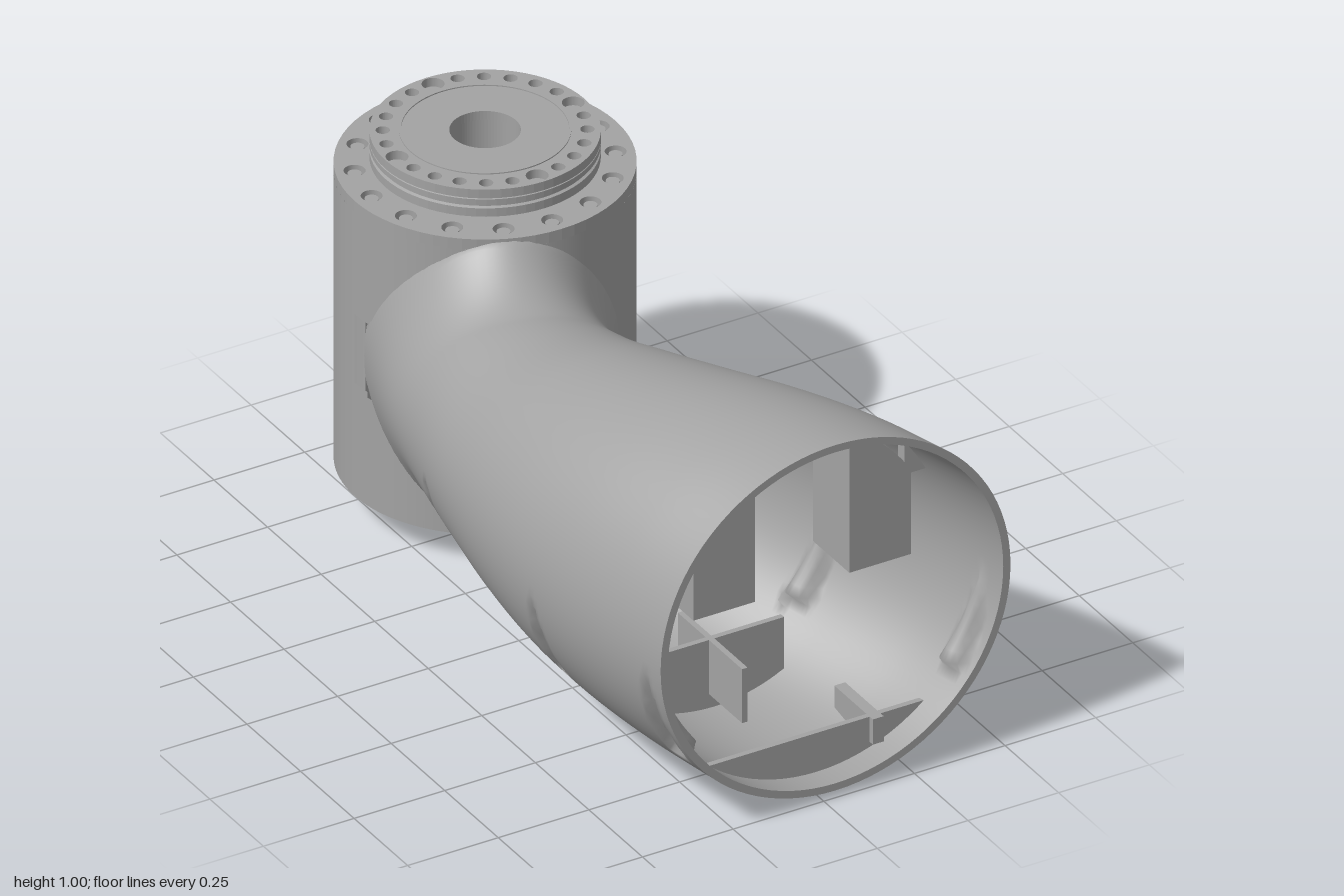
import * as THREE from 'three';

const AX = 0.035, AZ = -0.64, R = 0.36; // joint axis and joint radius

// Arm outline at even stations along z
const stations = [-0.6, -0.4, -0.2, 0, 0.2, 0.4, 0.6, 0.8, 1];
const track = (values) => {
  const c = new THREE.CubicInterpolant(stations, values, 1);
  return (z) => c.evaluate(z)[0];
};
const leftEdge = track([-0.322, -0.385, -0.43, -0.472, -0.503, -0.518, -0.51, -0.485, -0.45]);
const rightEdge = track([0.36, 0.27, 0.142, 0.165, 0.225, 0.3, 0.385, 0.46, 0.515]);
const halfHeight = track([0.3, 0.3, 0.3, 0.32, 0.368, 0.413, 0.45, 0.472, 0.48]);

function section(z, inset) {
  const a = leftEdge(z), b = rightEdge(z);
  return { cx: (a + b) / 2, rx: (b - a) / 2 - inset, ry: halfHeight(z) - inset };
}

// Depth of the teardrop screw pockets on the lower flanks
function pocket(y, z) {
  const v = (y - 0.23) / 0.22;
  if (v <= 0 || v >= 1) return 0;
  const w = 0.035 * Math.sqrt(1 - v);
  for (const zc of [0.94, 0.5, -0.11]) {
    const u = Math.abs(z - zc) / w;
    if (u < 1) return 0.04 * Math.sqrt(1 - u * u) * Math.sqrt(1 - v);
  }
  return 0;
}

// Point on the arm: elliptical section, flared towards the joint and stopped at its wall
function armPoint(z, angle, inset) {
  const s = section(z, inset);
  let x = s.cx + s.rx * Math.cos(angle);
  const r = Math.hypot(x - AX, z - AZ);
  const t = THREE.MathUtils.clamp((0.56 - r) / 0.2, 0, 1);
  const y = 0.5 + s.ry * Math.sin(angle) * (1 + 0.35 * Math.pow(t, 1.6));
  x -= Math.sign(Math.cos(angle)) * pocket(y, z);
  const wall = AZ + Math.sqrt(Math.max(0, 0.35 ** 2 - (x - AX) ** 2));
  return [x, y, Math.max(z, wall)];
}

// Closed rings joined into a skin
function loft(rings, flip = false, n = 96) {
  const pos = [], idx = [];
  rings.forEach(([z, inset], i) => {
    for (let j = 0; j < n; j++) {
      pos.push(...armPoint(z, (j / n) * Math.PI * 2, inset));
      if (i === rings.length - 1) continue;
      const a = i * n + j, b = i * n + (j + 1) % n, c = a + n, d = b + n;
      if (flip) idx.push(a, c, b, b, c, d);
      else idx.push(a, b, c, b, d, c);
    }
  });
  const g = new THREE.BufferGeometry();
  g.setAttribute('position', new THREE.Float32BufferAttribute(pos, 3));
  g.setIndex(idx);
  g.computeVertexNormals();
  return g;
}

// Flat web between a straight edge at y and the arm's inner wall (side 1 above, -1 below)
function web(x0, x1, y, side, z, depth) {
  const s = section(z, 0.012);
  const reach = s.rx * Math.sqrt(Math.max(0, 1 - ((y - 0.5) / s.ry) ** 2));
  x0 = Math.max(x0, s.cx - reach);
  x1 = Math.min(x1, s.cx + reach);
  const shape = new THREE.Shape().moveTo(x0, y);
  for (let i = 0; i <= 24; i++) {
    const x = x0 + (x1 - x0) * i / 24;
    const k = Math.sqrt(Math.max(0, 1 - ((x - s.cx) / s.rx) ** 2));
    shape.lineTo(x, 0.5 + side * s.ry * k);
  }
  shape.lineTo(x1, y);
  return new THREE.ExtrudeGeometry(shape, { depth, bevelEnabled: false }).translate(0, 0, z);
}

// Joint wall with the passage into the arm left open
function jointWall(radius) {
  const g = new THREE.CylinderGeometry(radius, radius, 0.79, 128, 50, true).translate(AX, 0.485, AZ);
  const p = g.attributes.position, old = g.index.array, keep = [];
  for (let i = 0; i < old.length; i += 3) {
    let x = 0, y = 0, z = 0;
    for (let k = 0; k < 3; k++) {
      x += p.getX(old[i + k]) / 3; y += p.getY(old[i + k]) / 3; z += p.getZ(old[i + k]) / 3;
    }
    const open = z > AZ && ((x + 0.1) / 0.24) ** 2 + ((y - 0.5) / 0.26) ** 2 < 1;
    if (!open) keep.push(old[i], old[i + 1], old[i + 2]);
  }
  g.setIndex(keep);
  return g;
}

// Round plate with a bore and a circle of holes, lying at height y
function drilledPlate(radius, bore, count, pitch, hole, y, depth) {
  const shape = new THREE.Shape().absarc(0, 0, radius, 0, Math.PI * 2);
  const cut = (x, z, r) => shape.holes.push(new THREE.Path().absarc(x, z, r, 0, Math.PI * 2, true));
  cut(0, 0, bore);
  for (let i = 0; i < count; i++) {
    const a = (i / count) * Math.PI * 2;
    const big = count === 24 && i % 6 === 0;
    cut(pitch * Math.cos(a), pitch * Math.sin(a), big ? hole * 1.6 : hole);
  }
  return new THREE.ExtrudeGeometry(shape, { depth, bevelEnabled: false, curveSegments: 32 })
    .rotateX(-Math.PI / 2).translate(AX, y, AZ);
}

// Sharp-edged turned ring from [radius, y] corners
function turned(points) {
  const pts = [];
  points.forEach((p, i) => {
    const q = points[(i + 1) % points.length];
    pts.push(new THREE.Vector2(...p), new THREE.Vector2(...q));
  });
  const g = new THREE.LatheGeometry(pts, 72).translate(AX, 0, AZ).toNonIndexed();
  g.computeVertexNormals();
  return g;
}

export function createModel() {
  const model = new THREE.Group();
  model.name = 'robotArmLink';
  const grey = new THREE.MeshStandardMaterial({ color: 0xa3a3a3, side: THREE.DoubleSide });
  grey.name = 'castGrey';
  const add = (name, geometry, parent = model) => {
    const m = new THREE.Mesh(geometry, grey);
    m.name = name;
    parent.add(m);
    return m;
  };

  // Hollow arm shell
  const steps = 150;
  const rings = (inset) => Array.from({ length: steps + 1 }, (_, i) => [-0.6 + 1.6 * i / steps, inset]);
  add('armOuterSkin', loft(rings(0)));
  add('armInnerSkin', loft(rings(0.02), true));
  add('armRim', loft([[1, 0], [1, 0.02]]));

  // Joint housing
  add('jointOuterWall', jointWall(R));
  add('jointInnerWall', jointWall(0.33));
  add('jointTopRing', drilledPlate(R, 0.24, 16, 0.313, 0.026, 0.88, 0.03));
  add('jointFloor', turned([[0.135, 0.09], [R, 0.09], [R, 0.11], [0.135, 0.11]]));
  add('bottomBoss', turned([[0.135, 0], [0.16, 0], [0.168, 0.008], [0.168, 0.065],
    [0.175, 0.07], [0.175, 0.1], [0.135, 0.1]]));
  add('bossSeat', turned([[0.085, 0.1], [0.15, 0.1], [0.15, 0.12], [0.085, 0.12]]));

  // Screws in the joint ring
  const screws = new THREE.Group();
  screws.name = 'ringScrews';
  model.add(screws);
  for (let i = 0; i < 16; i++) {
    const a = (i / 16) * Math.PI * 2;
    const x = AX + 0.313 * Math.cos(a), z = AZ + 0.313 * Math.sin(a);
    add('screwHead', new THREE.CylinderGeometry(0.017, 0.017, 0.03, 16).translate(x, 0.888, z), screws);
    add('counterboreFloor', new THREE.CylinderGeometry(0.027, 0.027, 0.004, 16).translate(x, 0.88, z), screws);
  }

  // Output flange with a through bore
  add('flangeBody', turned([[0.085, 0.87], [0.255, 0.87], [0.255, 0.92], [0.275, 0.922], [0.275, 0.945],
    [0.268, 0.948], [0.268, 0.953], [0.275, 0.956], [0.275, 0.97], [0.268, 0.973], [0.085, 0.973]]));
  add('flangeFace', drilledPlate(0.275, 0.085, 24, 0.243, 0.017, 0.973, 0.024));
  add('flangeLip', turned([[0.2, 0.996], [0.205, 0.996], [0.205, 1], [0.2, 1]]));

  // Upper mounting blocks and bulkhead inside the arm
  add('leftMountBlock', web(0.165, 0.335, 0.5, 1, 0.67, 0.17));
  add('rightMountBlock', web(-0.265, -0.095, 0.5, 1, 0.67, 0.17));
  add('upperBulkhead', web(-0.6, 0.6, 0.755, 1, 0.65, 0.02));
  add('sideWeb', web(0.335, 0.42, 0.705, 1, 0.78, 0.03));

  // Lower stiffening ribs
  add('rearCrossRib', web(-0.36, 0.13, 0.26, -1, 0.58, 0.015));
  add('frontCrossRib', web(-0.6, 0.6, 0.15, -1, 0.92, 0.015));
  add('rearLongRib', new THREE.BoxGeometry(0.015, 0.15, 0.3).translate(-0.07, 0.185, 0.6));
  add('frontLongRib', new THREE.BoxGeometry(0.03, 0.07, 0.18).translate(0.18, 0.115, 0.86));

  // Cable column inside the joint
  add('cableColumn', new THREE.CylinderGeometry(0.055, 0.055, 0.46, 32).translate(0, 0.52, -0.4));
  add('columnCollar', new THREE.CylinderGeometry(0.061, 0.061, 0.045, 32).translate(0, 0.312, -0.4));

  return model;
}
